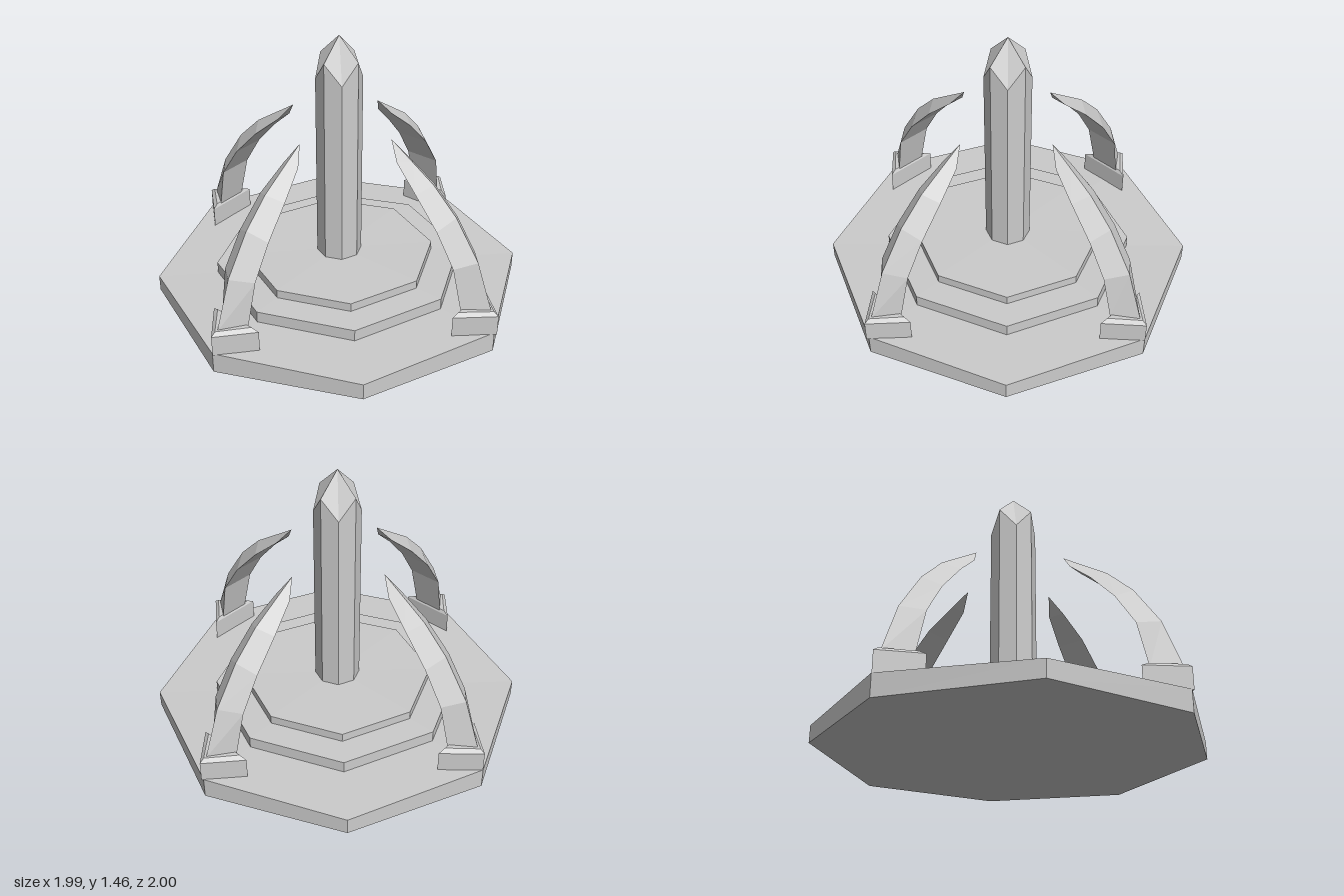
import * as THREE from 'three';

const material = new THREE.MeshStandardMaterial({ color: 0xcccccc, flatShading: true });

// Skins a stack of rings (counter-clockwise from above, bottom to top) and caps both ends.
function loft(name, rings) {
  const pos = [];
  const tri = (a, b, c) => {
    const area = b.clone().sub(a).cross(c.clone().sub(a)).length();
    if (area > 1e-8) for (const p of [a, b, c]) pos.push(p.x, p.y, p.z);
  };
  const n = rings[0].length;
  const centre = (ring) => ring.reduce((s, p) => s.add(p), new THREE.Vector3()).divideScalar(n);
  const first = rings[0], last = rings[rings.length - 1];
  const low = centre(first), high = centre(last);
  for (let i = 0; i < n; i++) {
    const j = (i + 1) % n;
    for (let k = 0; k < rings.length - 1; k++) {
      const a = rings[k], b = rings[k + 1];
      tri(a[i], a[j], b[j]);
      tri(a[i], b[j], b[i]);
    }
    tri(low, first[j], first[i]);
    tri(high, last[i], last[j]);
  }
  const geometry = new THREE.BufferGeometry();
  geometry.setAttribute('position', new THREE.Float32BufferAttribute(pos, 3));
  geometry.computeVertexNormals();
  const mesh = new THREE.Mesh(geometry, material);
  mesh.name = name;
  return mesh;
}

// Octagon with corners on the axes; the diagonal corners may sit at another height.
function octagon(radius, y, yDiagonal = y) {
  return Array.from({ length: 8 }, (_, i) => {
    const a = (i * Math.PI) / 4;
    return new THREE.Vector3(radius * Math.cos(a), i % 2 ? yDiagonal : y, -radius * Math.sin(a));
  });
}

// Triangle with its ridge pointing outwards (+z) and a flat inner side.
function triangle(zOut, yOut, zIn, yIn, halfWidth) {
  return [
    new THREE.Vector3(0, yOut, zOut),
    new THREE.Vector3(halfWidth, yIn, zIn),
    new THREE.Vector3(-halfWidth, yIn, zIn),
  ];
}

export function createModel() {
  const model = new THREE.Group();
  model.name = 'crystalShrine';

  // Stepped platform with the pointed crystal column
  const centre = new THREE.Group();
  centre.name = 'platformAndColumn';
  centre.position.z = -0.008;
  centre.add(
    loft('lowerStep', [octagon(0.99, 0, 0.012), octagon(0.99, 0.112, 0.1)]),
    loft('middleStep', [octagon(0.67, 0.1), octagon(0.67, 0.172, 0.165)]),
    loft('upperStep', [octagon(0.515, 0.16), octagon(0.515, 0.217, 0.213)]),
    loft('column', [octagon(0.121, 0.2), octagon(0.121, 1.34, 1.23), octagon(0, 1.457)]),
  );
  model.add(centre);

  // Four curved claws on wedge-shaped plinths
  const sections = [
    [0.955, 0.23, 0.83, 0.23, 0.088],
    [0.86, 0.48, 0.78, 0.46, 0.1],
    [0.72, 0.685, 0.67, 0.63, 0.094],
    [0.58, 0.82, 0.53, 0.78, 0.08],
    [0.45, 0.905, 0.39, 0.9, 0.047],
    [0.32, 0.99, 0.32, 0.99, 0],
  ];
  for (let i = 0; i < 4; i++) {
    const arm = new THREE.Group();
    arm.name = 'arm' + (i + 1);
    arm.add(
      loft('plinth', [
        triangle(0.997, 0.11, 0.825, 0.11, 0.152),
        triangle(0.997, 0.22, 0.825, 0.22, 0.152),
        triangle(0.97, 0.238, 0.835, 0.238, 0.115),
      ]),
      loft('claw', sections.map((s) => triangle(...s))),
    );
    arm.rotation.y = (i * Math.PI) / 2;
    model.add(arm);
  }
  return model;
}
